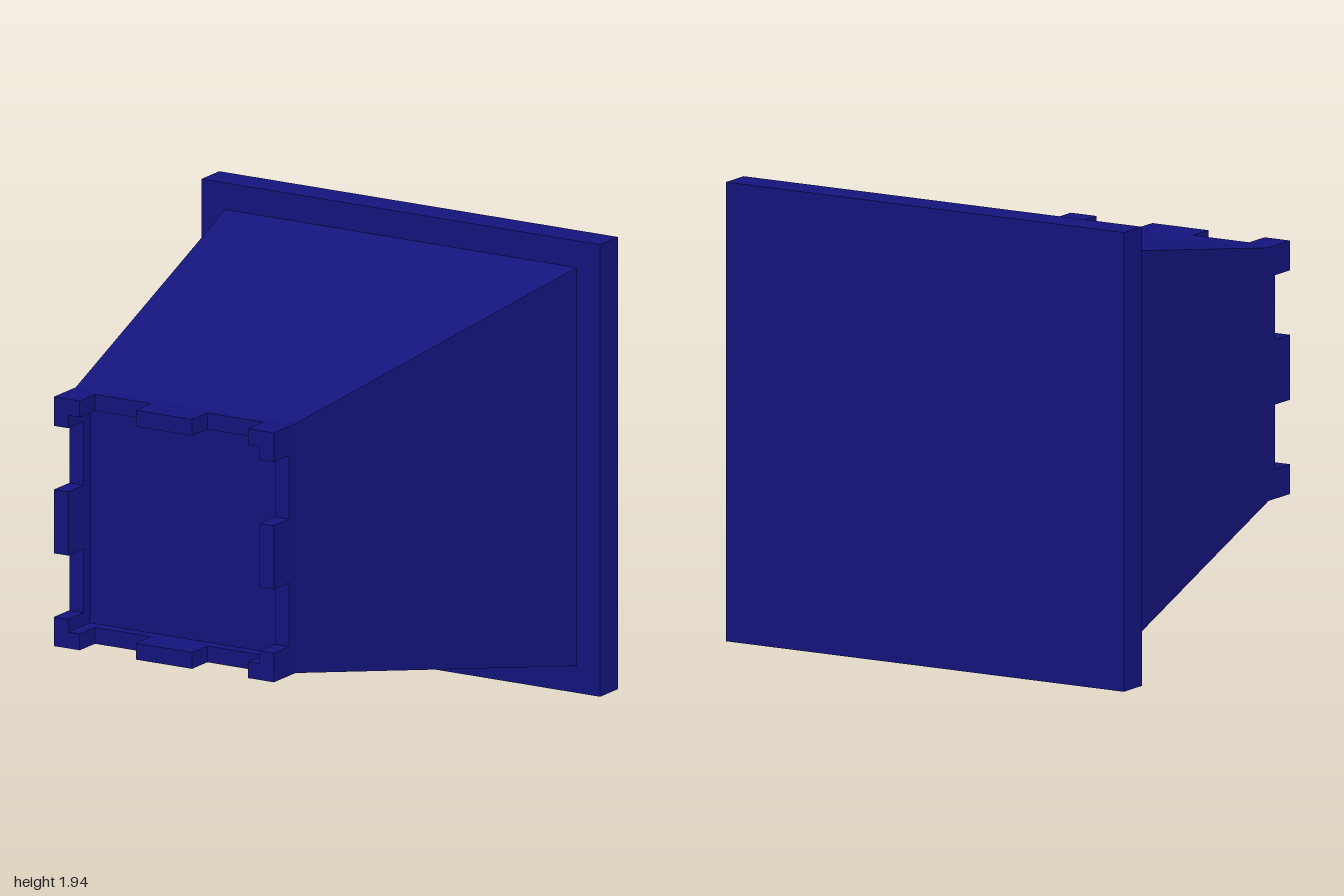
import * as THREE from 'three';

const CENTRE_Y = 0.97;
const NECK = 0.535;   // half width of the square neck
const INNER = 0.465;  // half width of the recess
const NOTCH = 0.41;   // inner end of the corner merlons
const FLOOR_Z = 0.83, RIM_Z = 0.88, TOP_Z = 1;

export function createModel() {
  const model = new THREE.Group();
  model.name = 'squareTower';
  const material = new THREE.MeshStandardMaterial({ color: 0x14147d, flatShading: true });

  // Everything is built around the z axis, then lifted to stand on y = 0
  const tower = new THREE.Group();
  tower.name = 'tower';
  tower.position.y = CENTRE_Y;
  model.add(tower);

  const add = (name, geometry) => {
    const mesh = new THREE.Mesh(geometry, material);
    mesh.name = name;
    tower.add(mesh);
    return mesh;
  };
  const extrude = (shape, z0, z1) =>
    new THREE.ExtrudeGeometry(shape, { depth: z1 - z0, bevelEnabled: false }).translate(0, 0, z0);
  const polygon = (points) => new THREE.Shape(points.map(([x, y]) => new THREE.Vector2(x, y)));
  const square = (h) => polygon([[-h, -h], [h, -h], [h, h], [-h, h]]);

  // Back plate
  add('basePlate', new THREE.BoxGeometry(1.94, 1.94, 0.14).translate(0, 0, -0.93));

  // Tapered four-sided body
  const body = new THREE.CylinderGeometry(NECK * Math.SQRT2, 0.855 * Math.SQRT2, 1.69, 4)
    .rotateY(Math.PI / 4)
    .rotateX(Math.PI / 2)
    .translate(0, 0, -0.015);
  add('taperedBody', body);

  // Low wall around the recess
  const ring = square(NECK);
  ring.holes.push(square(INNER));
  add('rimWall', extrude(ring, FLOOR_Z, RIM_Z));

  // L-shaped corner merlons and one merlon in the middle of each side
  const corner = extrude(polygon([
    [NOTCH, INNER], [INNER, INNER], [INNER, NOTCH], [NECK, NOTCH], [NECK, NECK], [NOTCH, NECK],
  ]), RIM_Z, TOP_Z);
  const middle = extrude(polygon([
    [-0.137, INNER], [0.137, INNER], [0.137, NECK], [-0.137, NECK],
  ]), RIM_Z, TOP_Z);
  for (let i = 0; i < 4; i++) {
    add('cornerMerlon', corner).rotation.z = i * Math.PI / 2;
    add('middleMerlon', middle).rotation.z = i * Math.PI / 2;
  }
  return model;
}
